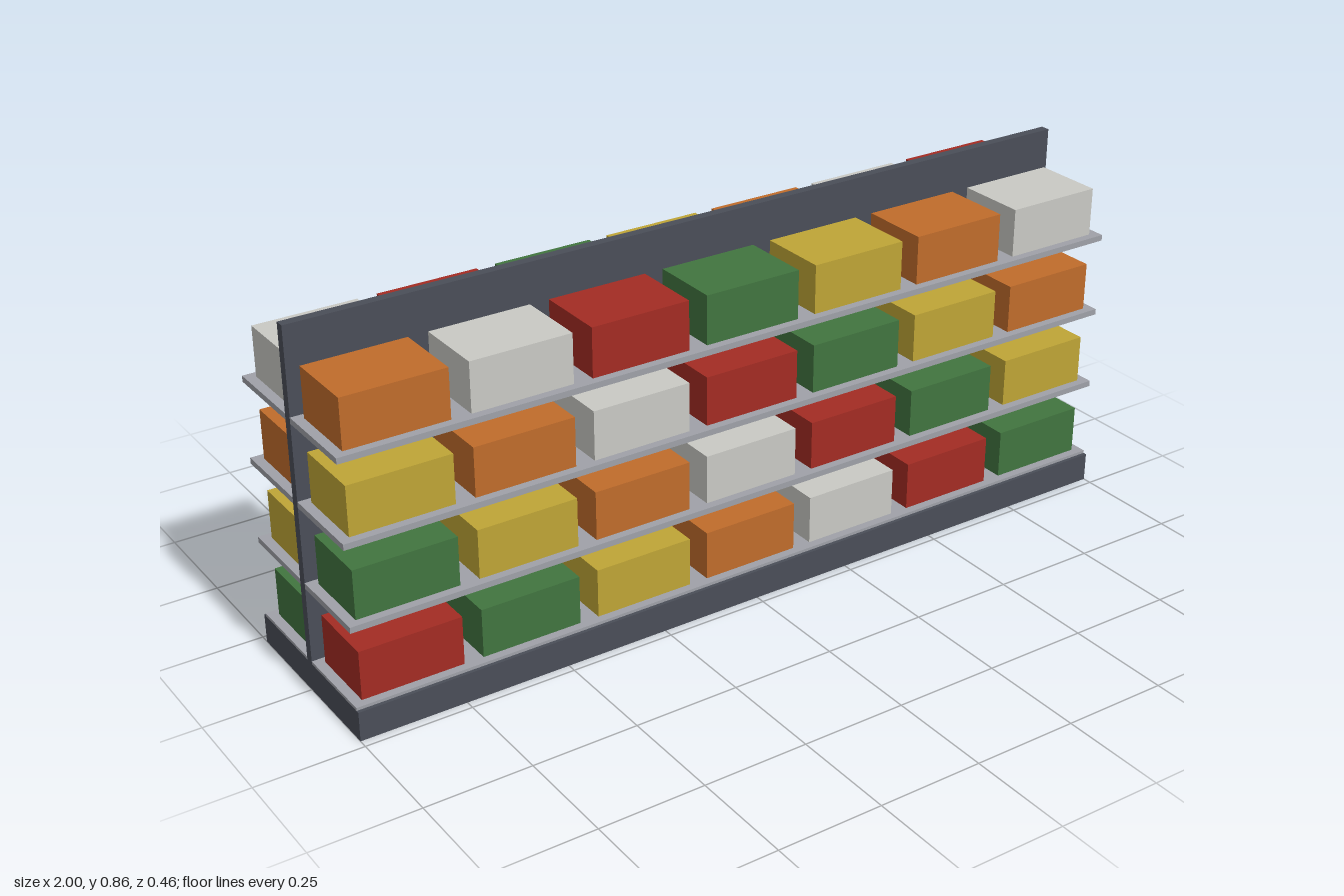
import * as THREE from 'three';

function mat(name, color) {
  const m = new THREE.MeshStandardMaterial({ color });
  m.name = name;
  return m;
}

export function createModel() {
  const group = new THREE.Group();
  group.name = 'storeShelf';

  const frame = mat('darkFrame', 0x4a4e58);
  const metal = mat('shelfGrey', 0x9fa1a8);
  const goods = [
    mat('red', 0xa32c23),
    mat('green', 0x41753f),
    mat('yellow', 0xbfa536),
    mat('orange', 0xc06c2b),
    mat('offWhite', 0xc9c9c4),
  ];

  // Box placed by the height of its underside
  function addBox(name, material, w, h, d, x, bottom, z) {
    const mesh = new THREE.Mesh(new THREE.BoxGeometry(w, h, d), material);
    mesh.name = name;
    mesh.position.set(x, bottom + h / 2, z);
    group.add(mesh);
  }

  // Base plinth and central back panel
  addBox('base', frame, 2, 0.07, 0.457, 0, 0, 0);
  addBox('backPanel', frame, 2, 0.787, 0.022, 0, 0.07, 0);

  // Four shelves on each side, each holding seven cartons
  const rows = 4, columns = 7, rowPitch = 0.1925, pitch = 2 / columns;
  for (const side of [1, -1]) {
    const label = side > 0 ? 'front' : 'back';
    for (let r = 0; r < rows; r++) {
      const top = 0.077 + r * rowPitch;
      const thick = r === 0 ? 0.007 : 0.014; // lowest shelf is sunk into the base
      addBox(label + 'Shelf', metal, 2, thick, 0.209, 0, top - thick, side * 0.1155);

      for (let c = 0; c < columns; c++) {
        const color = goods[(c + r + (side > 0 ? 0 : 1)) % goods.length];
        const x = (c - (columns - 1) / 2) * pitch;
        addBox(label + 'Carton', color, 0.24, 0.116, 0.171, x, top, side * 0.1145);
      }
    }
  }
  return group;
}
